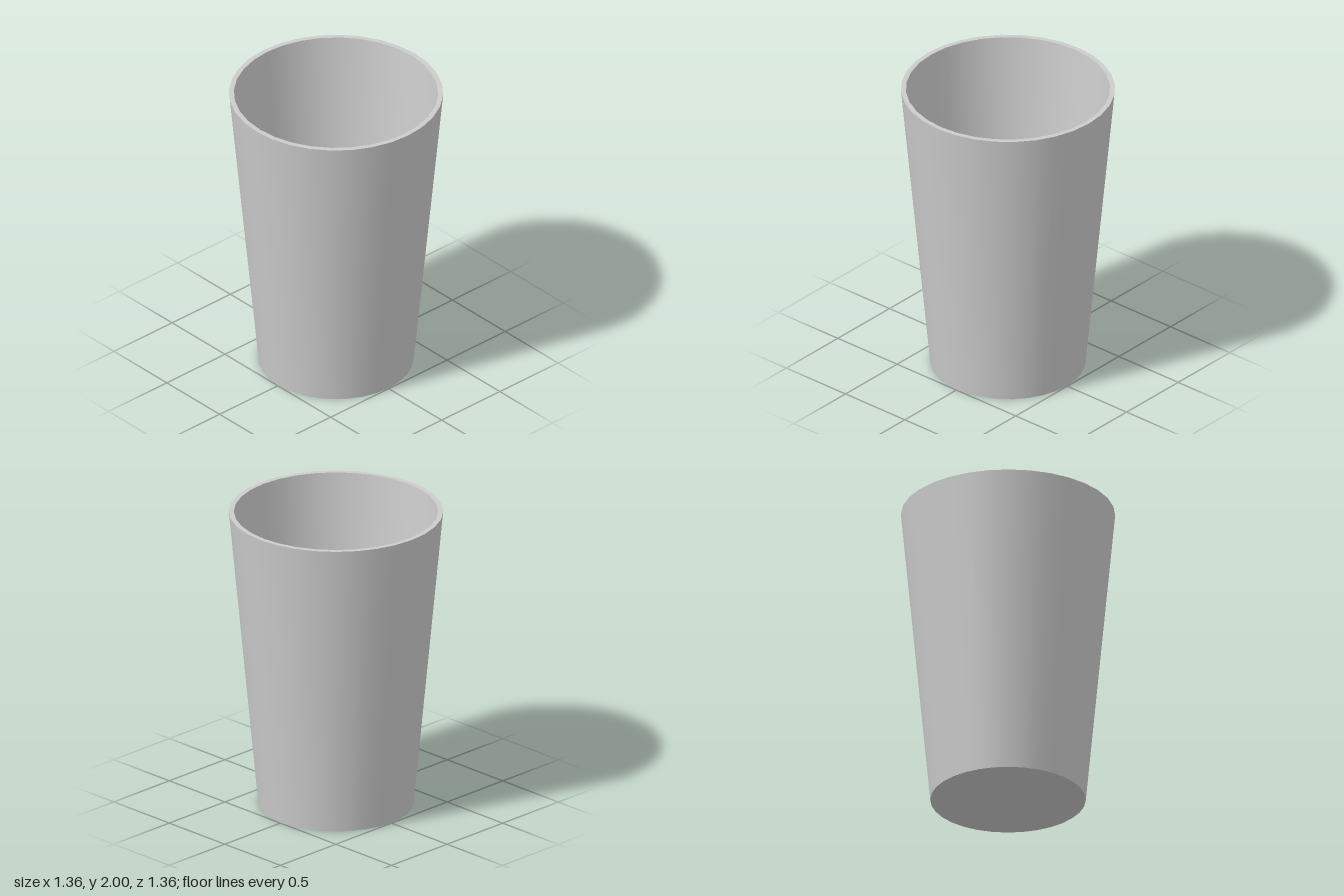
import * as THREE from 'three';

const SIDES = 32;

export function createModel() {
  const group = new THREE.Group();
  group.name = 'cup';
  const material = new THREE.MeshStandardMaterial({ color: 0xcccccc });

  // Profile [radius, height], from the centre of the base round to the inner floor
  const profile = [[0, 0], [0.495, 0], [0.682, 2], [0.65, 2], [0.472, 0.07], [0, 0.07]]
    .map(([r, y]) => new THREE.Vector2(r, y));
  const names = ['base', 'outerWall', 'rim', 'innerWall', 'innerFloor'];

  // One lathe per section keeps walls smooth round and edges sharp
  names.forEach((name, i) => {
    const section = new THREE.LatheGeometry([profile[i], profile[i + 1]], SIDES);
    const mesh = new THREE.Mesh(section, material);
    mesh.name = name;
    group.add(mesh);
  });

  return group;
}
